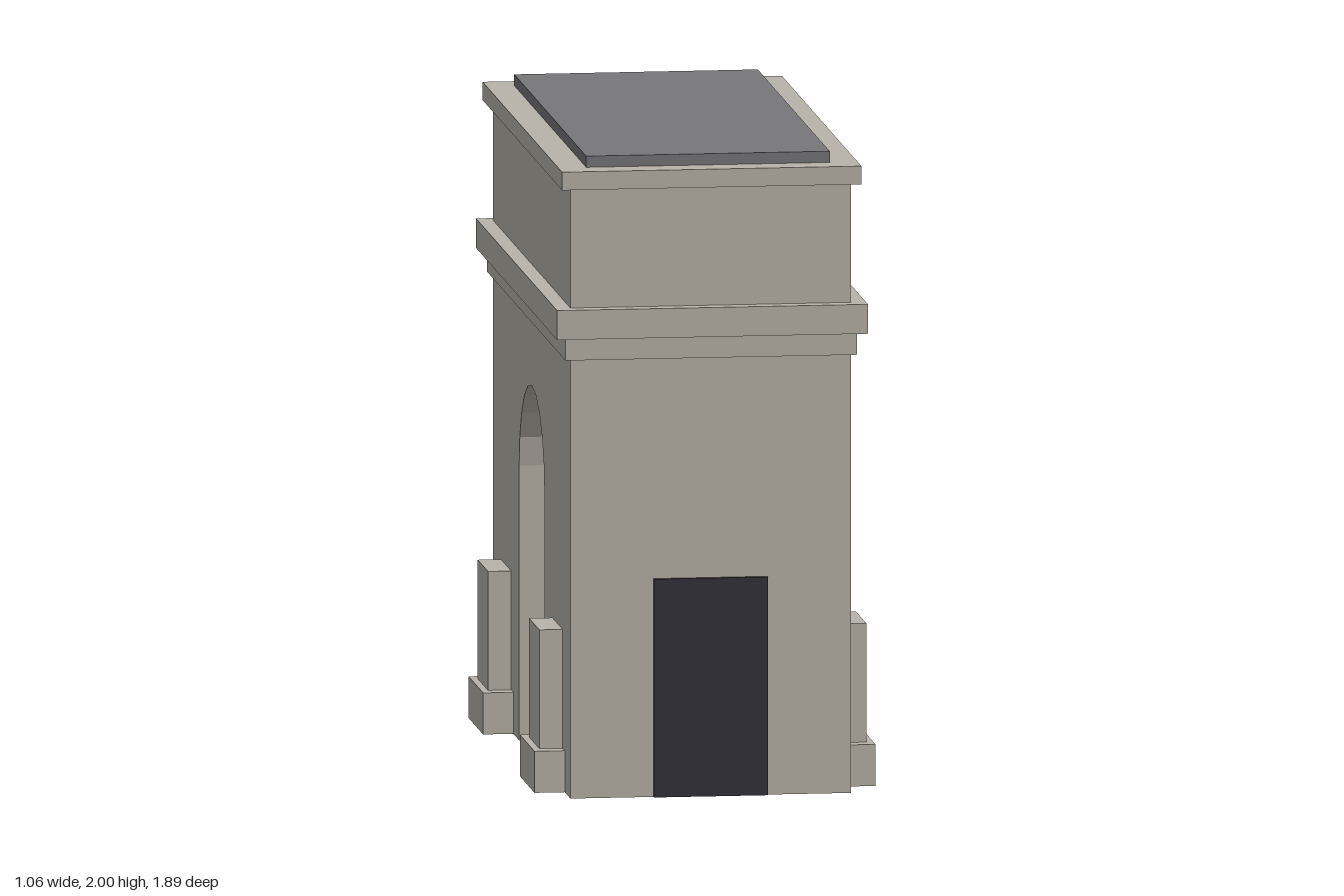
import * as THREE from 'three';

const stone = new THREE.MeshStandardMaterial({ color: 0xb9b4aa, side: THREE.DoubleSide });
stone.name = 'stone';
const slate = new THREE.MeshStandardMaterial({ color: 0x77767a });
slate.name = 'roofSlate';
const dark = new THREE.MeshStandardMaterial({ color: 0x34333a });
dark.name = 'darkDoor';

// Drops the faces lying on the ground, leaving a hollow shell
function openBottom(geometry) {
  const source = geometry.index ? geometry.toNonIndexed() : geometry;
  const p = source.attributes.position;
  const kept = [];
  for (let i = 0; i < p.count; i += 3) {
    if (Math.max(p.getY(i), p.getY(i + 1), p.getY(i + 2)) < 1e-4) continue;
    for (let k = i; k < i + 3; k++) kept.push(p.getX(k), p.getY(k), p.getZ(k));
  }
  const shell = new THREE.BufferGeometry();
  shell.setAttribute('position', new THREE.Float32BufferAttribute(kept, 3));
  shell.computeVertexNormals();
  return shell;
}

// Box given by its min and max on each axis
function box(x0, x1, y0, y1, z0, z1) {
  return new THREE.BoxGeometry(x1 - x0, y1 - y0, z1 - z0)
    .translate((x0 + x1) / 2, (y0 + y1) / 2, (z0 + z1) / 2);
}

export function createModel() {
  const model = new THREE.Group();
  model.name = 'triumphalArch';
  const add = (name, geometry, material) => {
    const mesh = new THREE.Mesh(geometry, material);
    mesh.name = name;
    model.add(mesh);
  };

  // Main body: side outline with a ten-sided half-round passage, extruded across x
  const W = 0.4375, L = 0.9, R = 0.295, SPRING = 0.86;
  const outline = new THREE.Shape();
  outline.moveTo(-L, 0);
  outline.lineTo(-R, 0);
  for (let i = 0; i <= 10; i++) {
    const a = Math.PI * (1 - i / 10);
    outline.lineTo(R * Math.cos(a), SPRING + R * Math.sin(a));
  }
  outline.lineTo(R, 0);
  outline.lineTo(L, 0);
  outline.lineTo(L, 1.4);
  outline.lineTo(-L, 1.4);
  outline.closePath();
  const body = new THREE.ExtrudeGeometry(outline, { depth: 2 * W, bevelEnabled: false })
    .translate(0, 0, -W)
    .rotateY(Math.PI / 2);
  add('archBody', openBottom(body), stone);

  // Stacked mouldings, attic and roof: name, half width, half length, bottom, top
  for (const [name, w, l, y0, y1, material] of [
    ['lowerBand', 0.455, 0.915, 1.373, 1.443, stone],
    ['entablature', 0.485, 0.947, 1.443, 1.535, stone],
    ['attic', W, L, 1.535, 1.908, stone],
    ['cornice', 0.467, 0.928, 1.908, 1.965, stone],
    ['roof', 0.38, 0.84, 1.965, 2, slate],
  ]) add(name, box(-w, w, y0, y1, -l, l), material);

  // Pedestals with relief blocks beside the passage, and a door on each end
  for (const [end, s] of [['front', 1], ['back', -1]]) {
    for (const [side, t] of [['Left', 1], ['Right', -1]]) {
      const x = (out) => (t > 0 ? [W, out] : [-out, -W]);
      const [p0, p1] = x(0.532);
      const [r0, r1] = x(0.51);
      add(`${end}${side}Pedestal`, openBottom(box(p0, p1, 0, 0.13, s * 0.6 - 0.17, s * 0.6 + 0.17)), stone);
      add(`${end}${side}Relief`, box(r0, r1, 0.13, 0.502, s * 0.6 - 0.12, s * 0.6 + 0.12), stone);
    }
    add(`${end}Door`, box(-0.178, 0.178, 0, 0.683, s * L - 0.013, s * L + 0.013), dark);
  }

  return model;
}
